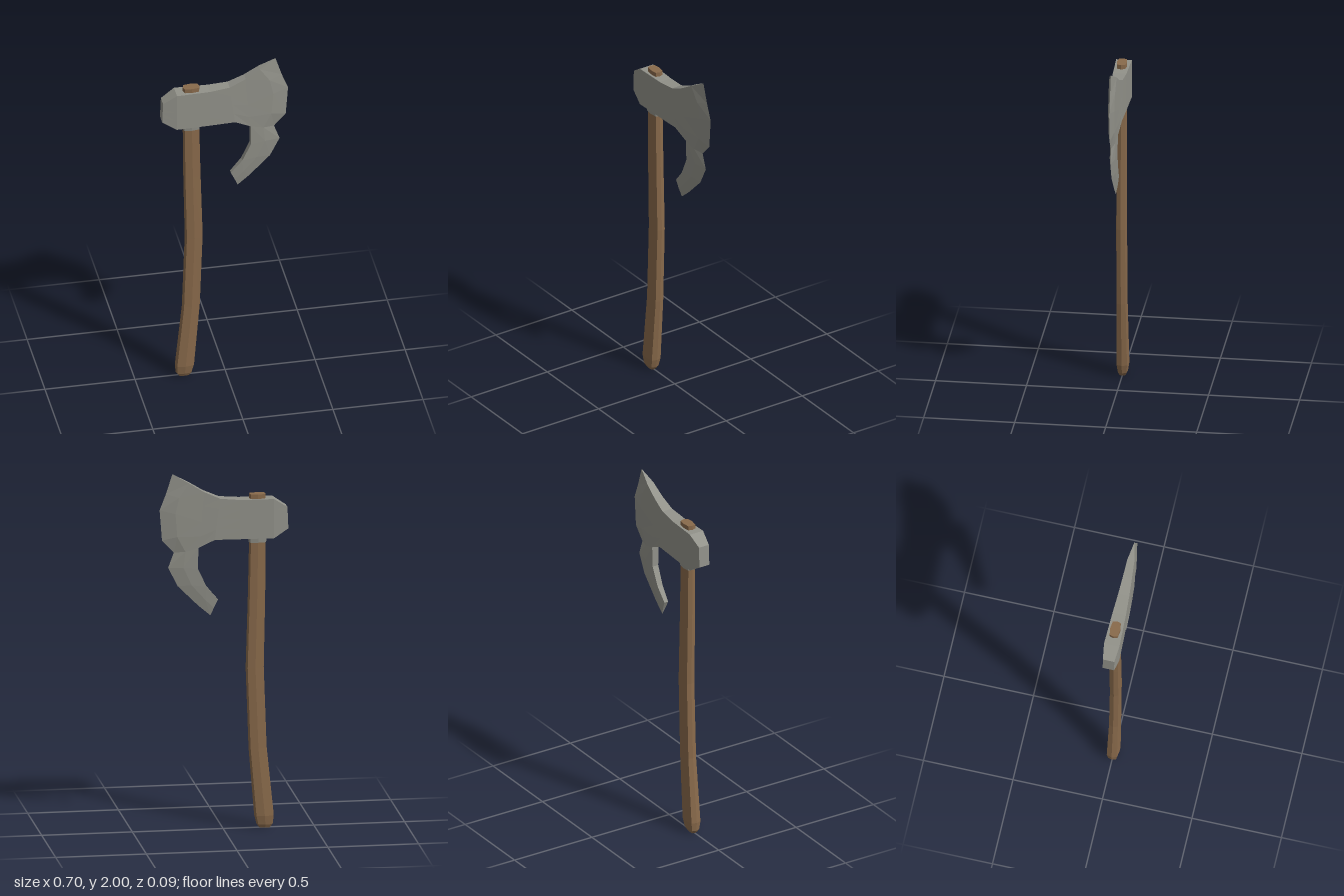
import * as THREE from 'three';

const steel = new THREE.MeshStandardMaterial({ color: 0x92928a });
steel.name = 'steel';
steel.flatShading = true;
const wood = new THREE.MeshStandardMaterial({ color: 0x896a4b });
wood.name = 'wood';
wood.flatShading = true;

function facetedMesh(name, positions, material) {
  const geometry = new THREE.BufferGeometry();
  geometry.setAttribute('position', new THREE.Float32BufferAttribute(positions, 3));
  geometry.computeVertexNormals();
  const mesh = new THREE.Mesh(geometry, material);
  mesh.name = name;
  return mesh;
}

// Loft eight-sided sections: [y, centre x, half width, half depth], bottom to top
function loftOctagon(name, sections, material) {
  const outline = [[1, 0], [0.84, 0.8], [0, 1], [-0.84, 0.8], [-1, 0], [-0.84, -0.8], [0, -1], [0.84, -0.8]];
  const rings = sections.map(([y, cx, w, d]) => outline.map(([u, v]) => [cx + u * w, y, v * d]));
  const out = [];
  const tri = (a, b, c) => out.push(...a, ...b, ...c);
  const n = outline.length;
  for (let s = 0; s < rings.length - 1; s++) {
    for (let i = 0; i < n; i++) {
      const j = (i + 1) % n;
      const [a, b, c, d] = [rings[s][i], rings[s][j], rings[s + 1][j], rings[s + 1][i]];
      tri(a, c, b);
      tri(a, d, c);
    }
  }
  const top = rings[rings.length - 1];
  for (let i = 1; i < n - 1; i++) {
    tri(rings[0][0], rings[0][i], rings[0][i + 1]);
    tri(top[0], top[i + 1], top[i]);
  }
  return facetedMesh(name, out, material);
}

// Axe head: columns of [x, y, half thickness] from the poll to the cutting edge
function makeHead() {
  const body = [
    // top x, top y, bottom x, bottom y, half thickness
    [-0.35, 1.8, -0.355, 1.68, 0.032],
    [-0.275, 1.85, -0.275, 1.63, 0.043],
    [-0.09, 1.85, -0.09, 1.63, 0.037],
    [0.02, 1.86, 0.05, 1.63, 0.031],
  ].map(([tx, ty, bx, by, h]) =>
    [0, 1, 2, 3, 4].map((r) => [tx + (bx - tx) * r / 4, ty + (by - ty) * r / 4, h]));

  const inner = [
    [0.11, 1.9, 0.025], [0.115, 1.82, 0.025], [0.12, 1.73, 0.025], [0.13, 1.65, 0.024], [0.14, 1.585, 0.021],
    [0.14, 1.465, 0.018], [0.093, 1.365, 0.016], [0.06, 1.325, 0.014], [0.03, 1.29, 0.012],
  ];
  const bevel = [
    [0.19, 1.95, 0.02], [0.245, 1.87, 0.018], [0.265, 1.78, 0.017], [0.255, 1.65, 0.016], [0.21, 1.565, 0.015],
    [0.22, 1.475, 0.014], [0.175, 1.375, 0.012], [0.1, 1.29, 0.01], [0.052, 1.243, 0.008],
  ];
  const edge = [
    [0.28, 2, 0], [0.315, 1.89, 0], [0.35, 1.8, 0], [0.337, 1.63, 0], [0.272, 1.56, 0],
    [0.303, 1.475, 0], [0.25, 1.37, 0], [0.135, 1.255, 0], [0.07, 1.2, 0],
  ];
  const cols = [...body, inner, bevel, edge];

  const out = [];
  const front = (p) => [p[0], p[1], p[2]];
  const back = (p) => [p[0], p[1], -p[2]];
  const tri = (a, b, c) => out.push(...a, ...b, ...c);

  // Both cheeks
  for (let c = 0; c < cols.length - 1; c++) {
    const rows = Math.min(cols[c].length, cols[c + 1].length);
    for (let r = 0; r < rows - 1; r++) {
      const q = [cols[c][r], cols[c][r + 1], cols[c + 1][r + 1], cols[c + 1][r]];
      const f = q.map(front);
      const b = q.map(back);
      tri(f[0], f[1], f[2]);
      tri(f[0], f[2], f[3]);
      tri(b[0], b[2], b[1]);
      tri(b[0], b[3], b[2]);
    }
  }

  // Rim joining the cheeks; it closes to nothing along the sharp edge
  const rim = [
    ...cols.map((col) => col[0]),
    ...edge.slice(1), bevel[8],
    ...inner.slice(4).reverse(),
    ...body.map((col) => col[4]).reverse(),
    body[0][3], body[0][2], body[0][1],
  ];
  rim.forEach((p, i) => {
    const q = rim[(i + 1) % rim.length];
    if (q[2] > 0) tri(front(p), front(q), back(q));
    if (p[2] > 0) tri(front(p), back(q), back(p));
  });
  return facetedMesh('axeHead', out, steel);
}

export function createModel() {
  const group = new THREE.Group();
  group.name = 'axe';

  // Curved haft with a rounded butt, its top end poking through the head
  group.add(loftOctagon('haft', [
    [0, -0.229, 0.03, 0.018],
    [0.02, -0.229, 0.045, 0.028],
    [0.07, -0.225, 0.054, 0.036],
    [0.45, -0.19, 0.05, 0.031],
    [0.9, -0.174, 0.05, 0.03],
    [1.3, -0.184, 0.048, 0.029],
    [1.61, -0.189, 0.046, 0.028],
    [1.875, -0.189, 0.046, 0.028],
  ], wood));

  group.add(makeHead());

  // Socket collar under the head
  group.add(loftOctagon('collar', [
    [1.605, -0.189, 0.049, 0.031],
    [1.64, -0.189, 0.053, 0.034],
  ], steel));

  return group;
}
